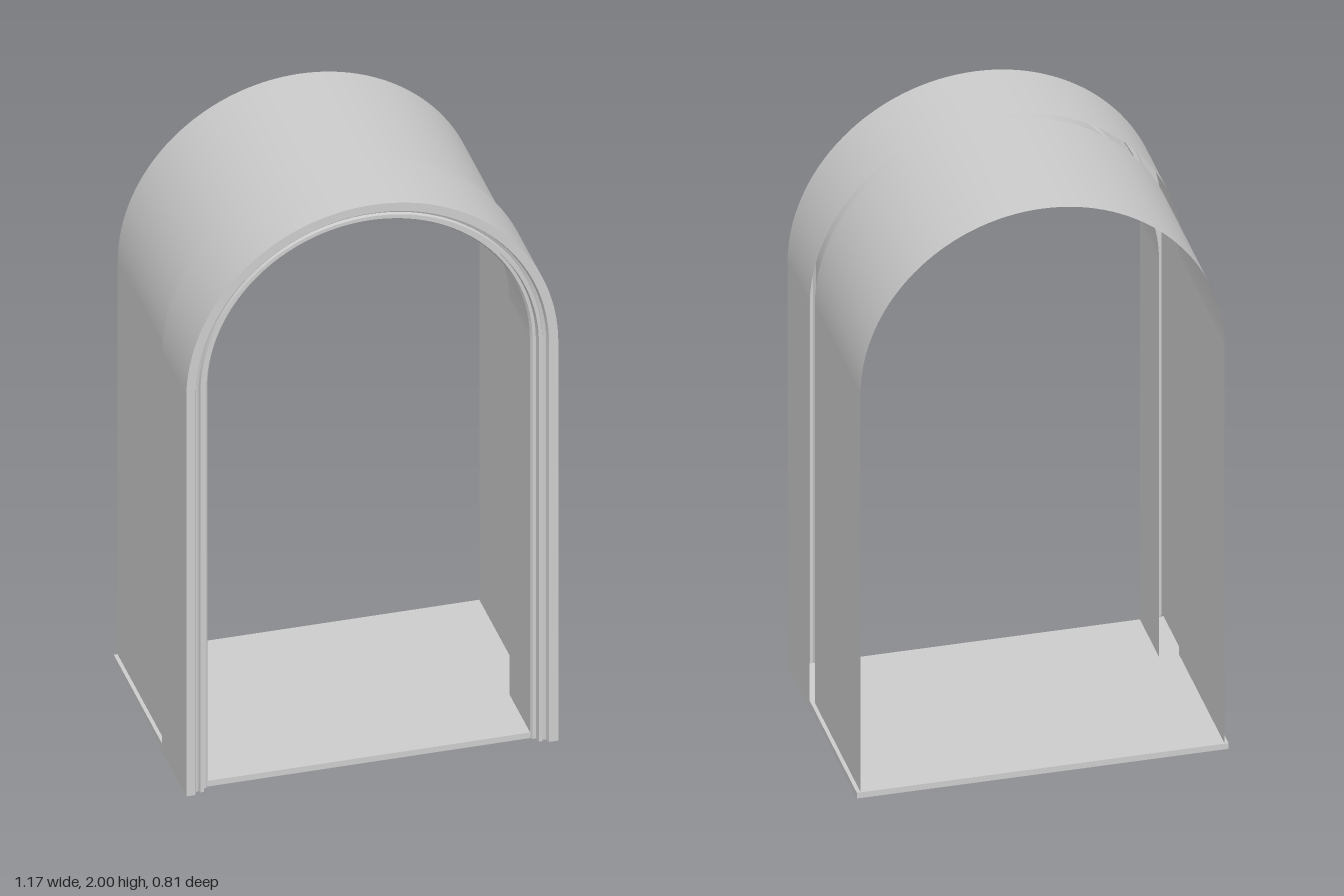
import * as THREE from 'three';

const SPRING = 1.416; // height where the arch begins
const ARC_STEPS = 64;

const material = new THREE.MeshStandardMaterial({ color: 0xcccccc, side: THREE.DoubleSide });

// Path of the arch: up the left jamb, round the half circle, down the right jamb
function archPoints(r) {
  const points = [[r, 0]];
  for (let i = 0; i <= ARC_STEPS; i++) {
    const a = (Math.PI * i) / ARC_STEPS;
    points.push([r * Math.cos(a), SPRING + r * Math.sin(a)]);
  }
  points.push([-r, 0]);
  return points;
}

// Sweep a profile of [radius, z] points along the arch; every profile segment
// is its own strip, so its edges stay sharp while the arch is smooth
function archSweep(profile) {
  const position = [];
  const index = [];
  for (let s = 0; s < profile.length - 1; s++) {
    const [r0, z0] = profile[s];
    const [r1, z1] = profile[s + 1];
    const a = archPoints(r0);
    const b = archPoints(r1);
    const base = position.length / 3;
    a.forEach((p, i) => {
      position.push(p[0], p[1], z0, b[i][0], b[i][1], z1);
      if (i === 0) return;
      const k = base + 2 * (i - 1);
      index.push(k, k + 2, k + 1, k + 1, k + 2, k + 3);
    });
  }
  const geometry = new THREE.BufferGeometry();
  geometry.setAttribute('position', new THREE.Float32BufferAttribute(position, 3));
  geometry.setIndex(index);
  geometry.computeVertexNormals();
  return geometry;
}

export function createModel() {
  const group = new THREE.Group();
  group.name = 'archedPassage';

  const add = (name, geometry) => {
    const mesh = new THREE.Mesh(geometry, material);
    mesh.name = name;
    group.add(mesh);
    return mesh;
  };

  // Front frame: outer wall, stepped moulding, inner jamb; open at the back
  add('frontFrame', archSweep([
    [0.584, 0.14], [0.584, 0.405], [0.555, 0.405], [0.55, 0.39], [0.54, 0.385],
    [0.537, 0.395], [0.526, 0.395], [0.522, 0.375], [0.512, 0.375], [0.506, 0.365],
    [0.506, 0.14],
  ]));

  // Thin vault behind the frame
  add('rearVault', archSweep([[0.568, 0.14], [0.568, -0.405]]));

  // Floor slab
  const floor = add('floor', new THREE.BoxGeometry(1.16, 0.02, 0.775));
  floor.position.set(0, 0.01, -0.0195);

  return group;
}
